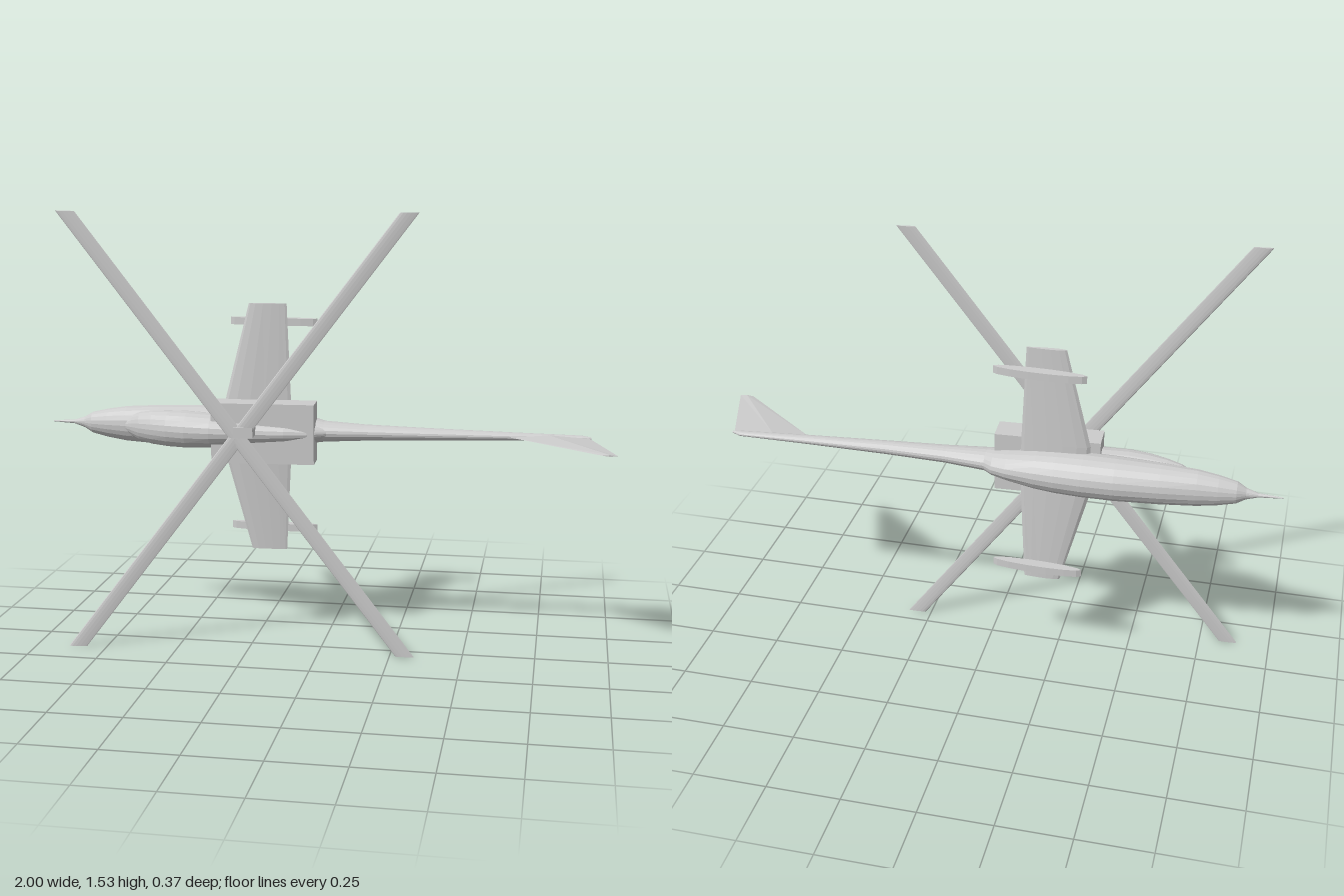
import * as THREE from 'three';

const MID = 0.765; // height of the fuselage axis
const material = new THREE.MeshStandardMaterial({ color: 0xcccccc, flatShading: true });

// Skin a list of closed rings and cap both ends
function loft(rings) {
  const pos = [];
  const n = rings[0].length;
  const centre = (r) => r.reduce((s, p) => s.map((v, k) => v + p[k] / n), [0, 0, 0]);
  const first = rings[0], last = rings[rings.length - 1];
  const c0 = centre(first), c1 = centre(last);
  for (let j = 0; j < n; j++) {
    const k = (j + 1) % n;
    for (let i = 0; i < rings.length - 1; i++) {
      const a = rings[i], b = rings[i + 1];
      pos.push(...a[j], ...a[k], ...b[j], ...b[j], ...a[k], ...b[k]);
    }
    pos.push(...c0, ...first[k], ...first[j], ...c1, ...last[j], ...last[k]);
  }
  const g = new THREE.BufferGeometry();
  g.setAttribute('position', new THREE.Float32BufferAttribute(pos, 3));
  g.computeVertexNormals();
  return g;
}

const around = (n, f) => Array.from({ length: n }, (_, i) => f((i / n) * Math.PI * 2));

// Elliptical body along x from stations [x, zLow, zHigh, halfWidth]
const body = (stations) => loft(stations.map(([x, lo, hi, w]) => around(20, (a) =>
  [x, MID + w * Math.cos(a), (lo + hi) / 2 + ((hi - lo) / 2) * Math.sin(a)])));

// Foil along y (listed downward) from sections [y, centreX, chord, centreZ, thickness]
const foil = (sections, slope = 0, skew = 0.4) => loft(sections.map(([y, cx, c, cz, t]) => around(14, (a) => {
  const dx = (c / 2) * Math.cos(a);
  return [cx + dx, y, cz + slope * dx + (t / 2) * Math.sin(a) * (1 - skew * Math.cos(a))];
})));

export function createModel() {
  const model = new THREE.Group();
  model.name = 'helicopterOnItsSide';
  const add = (name, geometry) => {
    const mesh = new THREE.Mesh(geometry, material);
    mesh.name = name;
    model.add(mesh);
    return mesh;
  };

  // Body: nose at -x, rotor side at +z
  add('fuselage', body([
    [-1, -0.106, -0.102, 0.002], [-0.92, -0.112, -0.097, 0.007], [-0.88, -0.12, -0.086, 0.02],
    [-0.85, -0.135, -0.07, 0.038], [-0.79, -0.147, -0.058, 0.052], [-0.72, -0.157, -0.048, 0.063],
    [-0.6, -0.172, -0.035, 0.07], [-0.45, -0.185, -0.025, 0.074], [-0.34, -0.188, -0.02, 0.074],
    [-0.25, -0.185, -0.02, 0.071], [-0.18, -0.179, -0.02, 0.065], [-0.08, -0.164, -0.02, 0.05],
    [-0.03, -0.15, -0.02, 0.042], [0, -0.128, -0.022, 0.036], [0.14, -0.113, -0.034, 0.028],
    [0.35, -0.107, -0.048, 0.022], [0.65, -0.11, -0.068, 0.014], [0.885, -0.115, -0.088, 0.008],
    [0.917, -0.1, -0.092, 0.004],
  ]));

  // Cockpit bulge running back into the engine spine
  add('canopy', body([
    [-0.72, -0.085, -0.05, 0.02], [-0.69, -0.1, -0.035, 0.04], [-0.66, -0.1, -0.016, 0.052],
    [-0.61, -0.1, 0.005, 0.06], [-0.55, -0.1, 0.026, 0.064], [-0.48, -0.1, 0.041, 0.065],
    [-0.39, -0.1, 0.046, 0.06], [-0.24, -0.1, 0.037, 0.046], [-0.13, -0.1, 0.026, 0.038],
    [-0.05, -0.09, 0.01, 0.03], [0.02, -0.08, -0.027, 0.018],
  ]));

  // Engine block and rotor mast, both leaning slightly
  const engines = add('engineBlock', new THREE.BoxGeometry(0.36, 0.21, 0.095));
  engines.position.set(-0.207, MID, -0.032);
  engines.rotation.y = 0.045;
  const mast = add('rotorMast', new THREE.BoxGeometry(0.066, 0.036, 0.1));
  mast.position.set(-0.258, 0.783, 0.048);
  mast.rotation.y = 0.06;

  // Tapered stub wings in one span
  add('wings', foil([
    [1.207, -0.204, 0.133, -0.092, 0.014],
    [0.86, -0.24, 0.235, -0.087, 0.03],
    [0.67, -0.24, 0.235, -0.087, 0.03],
    [0.327, -0.202, 0.125, -0.092, 0.014],
  ], -0.03));

  // Lens-shaped pods beside the wing tips
  [[1.138, -0.145], [0.398, -0.14]].forEach(([y, z], i) => add(i ? 'lowerPod' : 'upperPod', foil([
    [y + 0.013, -0.193, 0.312, z, 0.038], [y - 0.013, -0.193, 0.312, z, 0.038],
  ], 0.03, 0)));

  // Crossed rotor blades in a tilted plane
  for (const side of [-1, 1]) {
    const section = (y, x) => [y, x, 0.064, 0.091 - 0.067 * (x + 0.275) - 0.005 * (y - MID), 0.007];
    add(side < 0 ? 'rotorBladesA' : 'rotorBladesB', foil([
      section(1.53, -0.275 + side * 0.578), section(0, -0.275 - side * 0.578),
    ], -0.067));
  }

  // Swept tail fin with a thin diamond section
  const diamond = (front, back, half) => [
    [front[0], MID, front[1]],
    [(front[0] + back[0]) / 2, MID - half, (front[1] + back[1]) / 2],
    [back[0], MID, back[1]],
    [(front[0] + back[0]) / 2, MID + half, (front[1] + back[1]) / 2],
  ];
  add('tailFin', loft([
    diamond([0.635, -0.075], [0.91, -0.098], 0.009),
    diamond([0.95, 0.181], [1, 0.181], 0.003),
  ]));

  return model;
}
